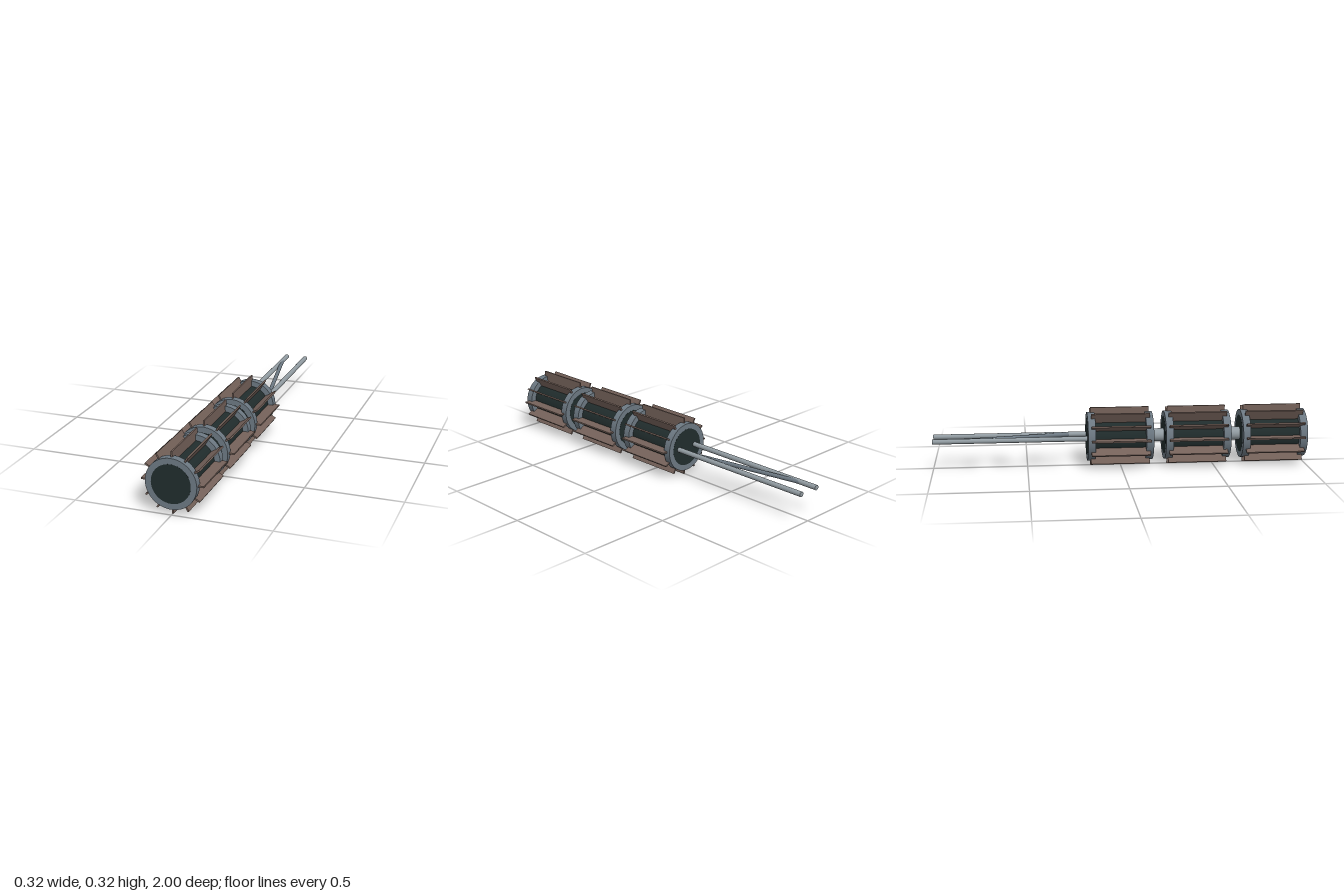
import * as THREE from 'three';

const material = (name, color) => {
  const m = new THREE.MeshStandardMaterial({ color });
  m.name = name;
  return m;
};

export function createModel() {
  const steel = material('blue grey steel', 0x6c7882);
  const dark = material('dark core', 0x202c2c);
  const brown = material('brown fin', 0x75625a);
  const light = material('light metal', 0x929ca2);

  const AXIS = 0.158; // height of the long axis
  const LENGTH = 0.35; // length of one drum
  const RING = 0.04; // thickness of an end ring
  const CENTRES = [0.825, 0.41, -0.005];

  const root = new THREE.Group();
  root.name = 'finnedDrumAssembly';

  const add = (parent, name, geometry, mat, x = 0, y = 0, z = 0) => {
    const mesh = new THREE.Mesh(geometry, mat);
    mesh.name = name;
    mesh.position.set(x, y, z);
    parent.add(mesh);
    return mesh;
  };
  const cylinderZ = (radius, length, sides) =>
    new THREE.CylinderGeometry(radius, radius, length, sides).rotateX(Math.PI / 2);

  // Shared drum parts
  const core = cylinderZ(0.1, LENGTH + 0.001, 48);
  const ring = cylinderZ(0.13, RING, 48);
  const fin = new THREE.BoxGeometry(0.06, 0.008, 0.315).translate(0.128, 0, 0);

  // Three drums, each a core with two end rings and twelve radial fins
  CENTRES.forEach((z) => {
    const drum = new THREE.Group();
    drum.name = 'drum';
    drum.position.set(0, AXIS, z);
    add(drum, 'core', core, dark);
    for (const side of [-1, 1]) {
      add(drum, 'endRing', ring, steel, 0, 0, side * (LENGTH - RING) / 2);
    }
    for (let i = 0; i < 12; i++) {
      add(drum, 'fin', fin, brown).rotation.z = (i * Math.PI) / 6;
    }
    root.add(drum);
  });

  // Couplings between the drums
  for (let i = 0; i < 2; i++) {
    add(root, 'coupling', cylinderZ(0.035, 0.075, 32), light, 0, AXIS, (CENTRES[i] + CENTRES[i + 1]) / 2);
  }

  // Two long rear rods
  for (const side of [-1, 1]) {
    add(root, 'rearRod', cylinderZ(0.0135, 0.83, 20), light, side * 0.058, AXIS, -0.585);
  }

  // Diagonal brace between the rods
  const from = new THREE.Vector3(-0.058, AXIS, -0.91);
  const to = new THREE.Vector3(0.058, AXIS, -0.26);
  const span = to.clone().sub(from);
  const brace = add(root, 'diagonalBrace', new THREE.CylinderGeometry(0.011, 0.011, span.length(), 16), steel);
  brace.position.copy(from).add(to).multiplyScalar(0.5);
  brace.quaternion.setFromUnitVectors(new THREE.Vector3(0, 1, 0), span.normalize());

  return root;
}
